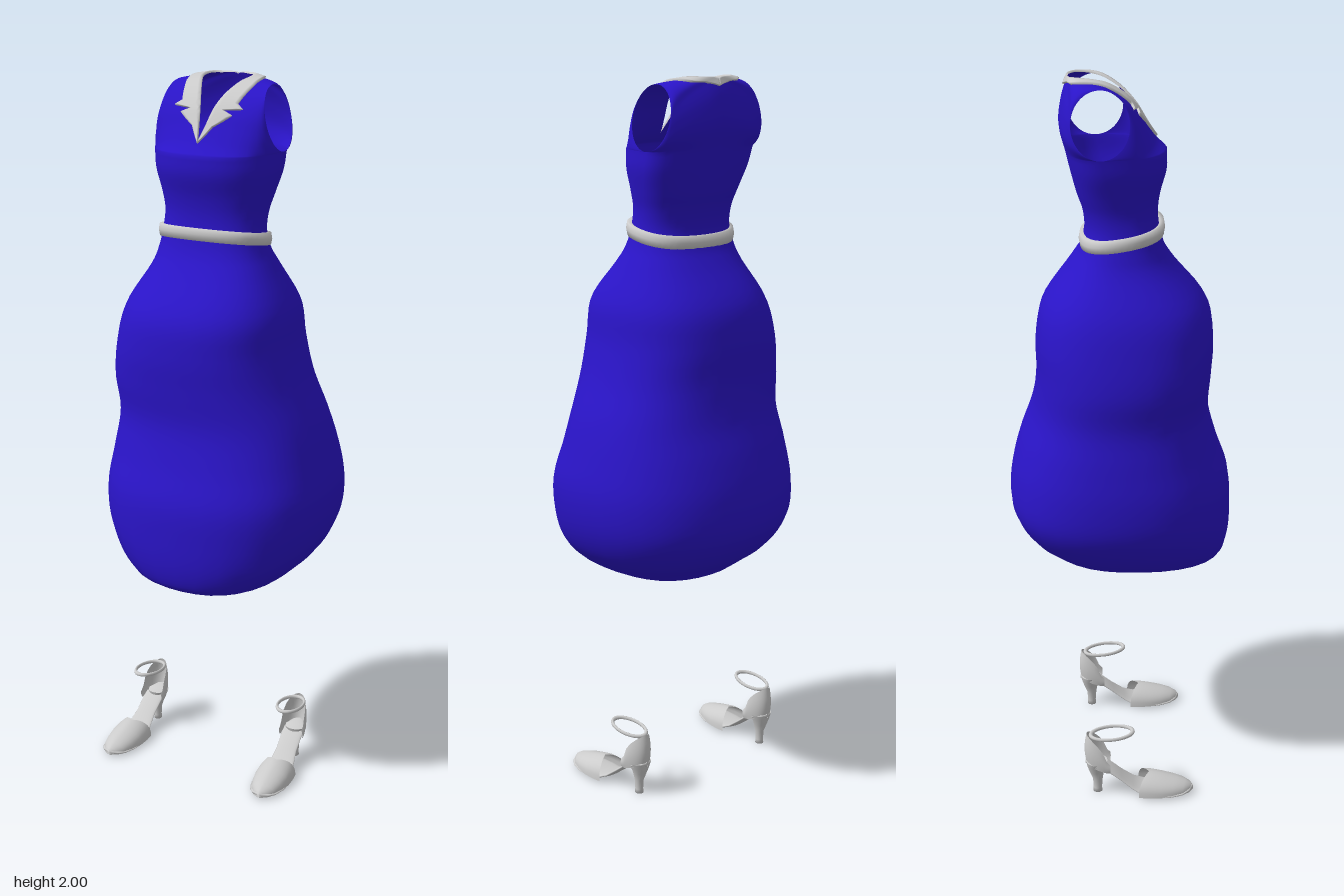
import * as THREE from 'three';
import { mergeGeometries, mergeVertices } from 'three/addons/utils/BufferGeometryUtils.js';

const V = (x, y, z) => new THREE.Vector3(x, y, z);
const blue = new THREE.MeshStandardMaterial({ color: 0x2a14c8, side: THREE.DoubleSide });
const grey = new THREE.MeshStandardMaterial({ color: 0xcccccc, side: THREE.DoubleSide });

// Surface from a rule: fn(u, v) with u and v running 0..1
function grid(nu, nv, fn) {
  const pos = [], idx = [];
  for (let j = 0; j <= nv; j++)
    for (let i = 0; i <= nu; i++) pos.push(...fn(i / nu, j / nv).toArray());
  for (let j = 0; j < nv; j++)
    for (let i = 0; i < nu; i++) {
      const a = j * (nu + 1) + i, b = a + 1, c = a + nu + 1, d = c + 1;
      idx.push(a, b, d, a, d, c);
    }
  const g = new THREE.BufferGeometry();
  g.setAttribute('position', new THREE.Float32BufferAttribute(pos, 3));
  g.setIndex(idx);
  return g;
}

function smooth(parts, tolerance = 1e-4) {
  const g = mergeVertices(mergeGeometries(parts), tolerance);
  g.computeVertexNormals();
  return g;
}

function mesh(name, geometry, material) {
  const m = new THREE.Mesh(geometry, material);
  m.name = name;
  return m;
}

// Rounded-square ring, u from the front through +x, back and -x
function ringPoint(u, y, x0, x1, z0, z1, cz = (z0 + z1) / 2) {
  const q = Math.floor(u * 4 + 1e-9) % 4, s = Math.max(0, u * 4 - Math.floor(u * 4 + 1e-9));
  const p = 1 - (1 - s) ** 2, c = 1 - s * s;
  const [ox, oz] = [[p, c], [c, -p], [-p, -c], [-c, p]][q];
  return V((x0 + x1) / 2 + ox * (x1 - x0) / 2, y, cz + oz * (oz > 0 ? z1 - cz : cz - z0));
}

// Skirt and waist sections, hem to armpit: y, right, left, back, front, side z
const sections = [
  [0.645, -0.17, 0.2, -0.17, 0.275], [0.665, -0.21, 0.235, -0.195, 0.297],
  [0.72, -0.265, 0.29, -0.262, 0.31], [0.8, -0.305, 0.325, -0.305, 0.312],
  [0.9, -0.312, 0.335, -0.305, 0.305], [1, -0.3, 0.317, -0.28, 0.27],
  [1.1, -0.285, 0.29, -0.245, 0.245], [1.2, -0.293, 0.25, -0.23, 0.248],
  [1.3, -0.28, 0.222, -0.23, 0.252], [1.4, -0.253, 0.208, -0.21, 0.235],
  [1.5, -0.195, 0.158, -0.14, 0.153], [1.55, -0.177, 0.133, -0.108, 0.12],
  [1.6, -0.167, 0.12, -0.095, 0.105], [1.65, -0.166, 0.12, -0.1, 0.1, -0.01],
  [1.7, -0.178, 0.132, -0.117, 0.106, -0.025], [1.76, -0.197, 0.147, -0.133, 0.122, -0.045],
  [1.81, -0.204, 0.15, -0.145, 0.122, -0.058],
];
const xCurve = new THREE.CatmullRomCurve3(sections.map(r => V(r[1], r[0], r[2])), false, 'catmullrom');
const zCurve = new THREE.CatmullRomCurve3(
  sections.map(r => V(r[3], r[5] ?? (r[3] + r[4]) / 2, r[4])), false, 'catmullrom');

// Neckline from centre front, up the V, round the neck and down the centre back
const cx = -0.027;
const neck = new THREE.CatmullRomCurve3([
  V(0, 1.81, 0.122), V(0, 1.838, 0.094), V(0.01, 1.88, 0.065), V(0.02, 1.92, 0.04),
  V(0.035, 1.953, 0.008), V(0.055, 1.98, -0.035), V(0.068, 1.99, -0.07), V(0.066, 1.994, -0.105),
  V(0.045, 1.994, -0.127), V(0, 1.992, -0.136), V(0, 1.945, -0.152), V(0, 1.88, -0.16),
  V(0, 1.81, -0.145)], false, 'catmullrom');

// Half of the upper bodice: s runs from neckline to armhole, t round the armhole
function panelPoint(s, t) {
  const a = t * Math.PI * 2, A = neck.getPoint(t);
  A.x = Math.max(0, A.x);
  const B = V(0.1585 + 0.0185 * Math.cos(a), 1.895 - 0.085 * Math.cos(a), -0.058 + 0.075 * Math.sin(a));
  const C = V(B.x, (A.y + B.y) / 2, A.z);
  return new THREE.QuadraticBezierCurve3(A, C, B).getPoint(s);
}

function raisedPoint(s, t, h) {
  const e = 0.004, p = panelPoint(s, t);
  const du = panelPoint(s + e, t).sub(panelPoint(s - e, t));
  const dv = panelPoint(s, t + e).sub(panelPoint(s, t - e));
  return p.addScaledVector(du.cross(dv).normalize(), h);
}

const mirrored = (nu, nv, fn) => [
  grid(nu, nv, (u, v) => { const p = fn(u, v); p.x = cx + p.x; return p; }),
  grid(nu, nv, (u, v) => { const p = fn(1 - u, v); p.x = cx - p.x; return p; }),
];

// Collar width along s, by degrees round the armhole, with notched lapels
const collarWidth = [[30, 0], [60, 0.065], [85, 0.225], [91, 0.1], [99, 0.35], [107, 0.24],
  [120, 0.26], [150, 0.3], [180, 0.27], [210, 0.22], [240, 0.17], [270, 0.11], [284, 0]];

function collarPoint(u, v) {
  const k = v * (collarWidth.length - 1), i = Math.min(Math.floor(k + 1e-9), collarWidth.length - 2);
  const [a, b] = [collarWidth[i], collarWidth[i + 1]];
  const t = THREE.MathUtils.lerp(a[0], b[0], k - i) / 360;
  const w = THREE.MathUtils.lerp(a[1], b[1], k - i);
  const s = THREE.MathUtils.clamp((u * 8 - 1) / 6, 0, 1);
  return raisedPoint(s * w, t, u === 0 || u === 1 ? 0 : 0.006);
}

// Closed loft along z or y: rings given as [centre, half x, half other]
function loft(rings, alongY) {
  const n = rings.length - 1;
  return smooth([grid(20, n, (u, v) => {
    const [c, rx, r] = rings[Math.round(v * n)], a = u * Math.PI * 2;
    return alongY ? V(rx * Math.cos(a), c.y, c.z - r * Math.sin(a))
      : V(rx * Math.cos(a), c.y + r * Math.sin(a), c.z);
  })]);
}

function createShoe(name) {
  const shoe = new THREE.Group();
  shoe.name = name;

  // Sole rising from the toe to the heel seat: z, y, half width
  const sole = [[0.196, 0.014, 0.004], [0.185, 0.012, 0.026], [0.165, 0.009, 0.041], [0.13, 0.007, 0.051],
    [0.09, 0.007, 0.053], [0.055, 0.011, 0.046], [0.025, 0.025, 0.037], [-0.01, 0.052, 0.031],
    [-0.045, 0.08, 0.032], [-0.08, 0.095, 0.033], [-0.105, 0.1, 0.02], [-0.112, 0.1, 0.003]];
  shoe.add(mesh('sole', loft(sole.map(([z, y, w]) => [V(0, y, z), w, 0.007])), grey));

  // Toe cap, a half dome open towards the ankle: z, half width, height
  const cap = [[0.197, 0.003, 0.016], [0.19, 0.022, 0.026], [0.175, 0.037, 0.035], [0.15, 0.047, 0.044],
    [0.12, 0.053, 0.052], [0.09, 0.053, 0.06], [0.07, 0.05, 0.062]];
  shoe.add(mesh('toeCap', smooth([grid(16, cap.length - 1, (u, v) => {
    const [z, w, h] = cap[Math.round(v * (cap.length - 1))], a = u * Math.PI;
    const sag = Math.abs(Math.cos(a)) * v * 0.03;
    return V(w * Math.cos(a), 0.006 + (h - 0.006) * Math.sin(a) ** 0.8, z - sag);
  })]), grey));

  // Heel cup wrapped round the back of the foot
  shoe.add(mesh('heelCup', smooth([grid(20, 8, (u, v) => {
    const a = (u - 0.5) * Math.PI * 1.1, back = Math.max(0, Math.cos(a));
    const bottom = 0.078 + 0.016 * back, top = 0.105 + 0.085 * Math.sqrt(back);
    const r = 0.9 + 0.14 * Math.sin(Math.PI * (0.1 + v * 0.8));
    return V(-0.037 * r * Math.sin(a), bottom + (top - bottom) * v, -0.05 - 0.062 * r * Math.cos(a));
  })]), grey));

  // Slender curved heel: y, z, half width, half depth
  const heel = [[0, -0.077, 0.012, 0.013], [0.012, -0.077, 0.011, 0.012], [0.04, -0.077, 0.012, 0.014],
    [0.065, -0.08, 0.019, 0.021], [0.085, -0.081, 0.027, 0.027], [0.1, -0.08, 0.033, 0.031]];
  const rings = heel.map(([y, z, w, d]) => [V(0, y, z), w, d]);
  rings.unshift([V(0, 0, -0.077), 0.0005, 0.0005]);
  shoe.add(mesh('heel', loft(rings, true), grey));

  // Ankle strap
  const strap = mesh('ankleStrap', new THREE.TorusGeometry(1, 0.1, 8, 32), grey);
  strap.geometry.rotateX(Math.PI / 2).scale(0.036, 0.055, 0.06).rotateX(-0.1).translate(0, 0.19, -0.037);
  shoe.add(strap);
  return shoe;
}

export function createModel() {
  const model = new THREE.Group();
  model.name = 'dressAndShoes';

  // Dress: skirt and waist tube joined to the two upper bodice halves
  const tube = grid(32, 72, (u, v) => {
    const x = xCurve.getPoint(v), z = zCurve.getPoint(v);
    return ringPoint(u, x.y, x.x, x.z, z.x, z.z, z.y);
  });
  model.add(mesh('dress', smooth([tube, ...mirrored(8, 72, panelPoint)]), blue));

  model.add(mesh('collar', smooth(mirrored(8, (collarWidth.length - 1) * 4, collarPoint)), grey));

  // Belt, tilted down towards the back
  const profile = [[-0.016, -0.012], [-0.017, 0], [0, 0.003], [0.017, 0], [0.016, -0.012]];
  model.add(mesh('belt', smooth([grid(48, 4, (u, v) => {
    const [dy, o] = profile[Math.round(v * 4)];
    const p = ringPoint(u, 0, -0.176 - o, 0.13 + o, -0.107 - o, 0.116 + o);
    p.y = 1.585 + dy + 0.17 * p.z;
    return p;
  })]), grey));

  for (const [name, x, turn] of [['rightShoe', -0.277, -0.05], ['leftShoe', 0.206, 0.05]]) {
    const shoe = createShoe(name);
    shoe.position.x = x;
    shoe.rotation.y = turn;
    model.add(shoe);
  }
  return model;
}
